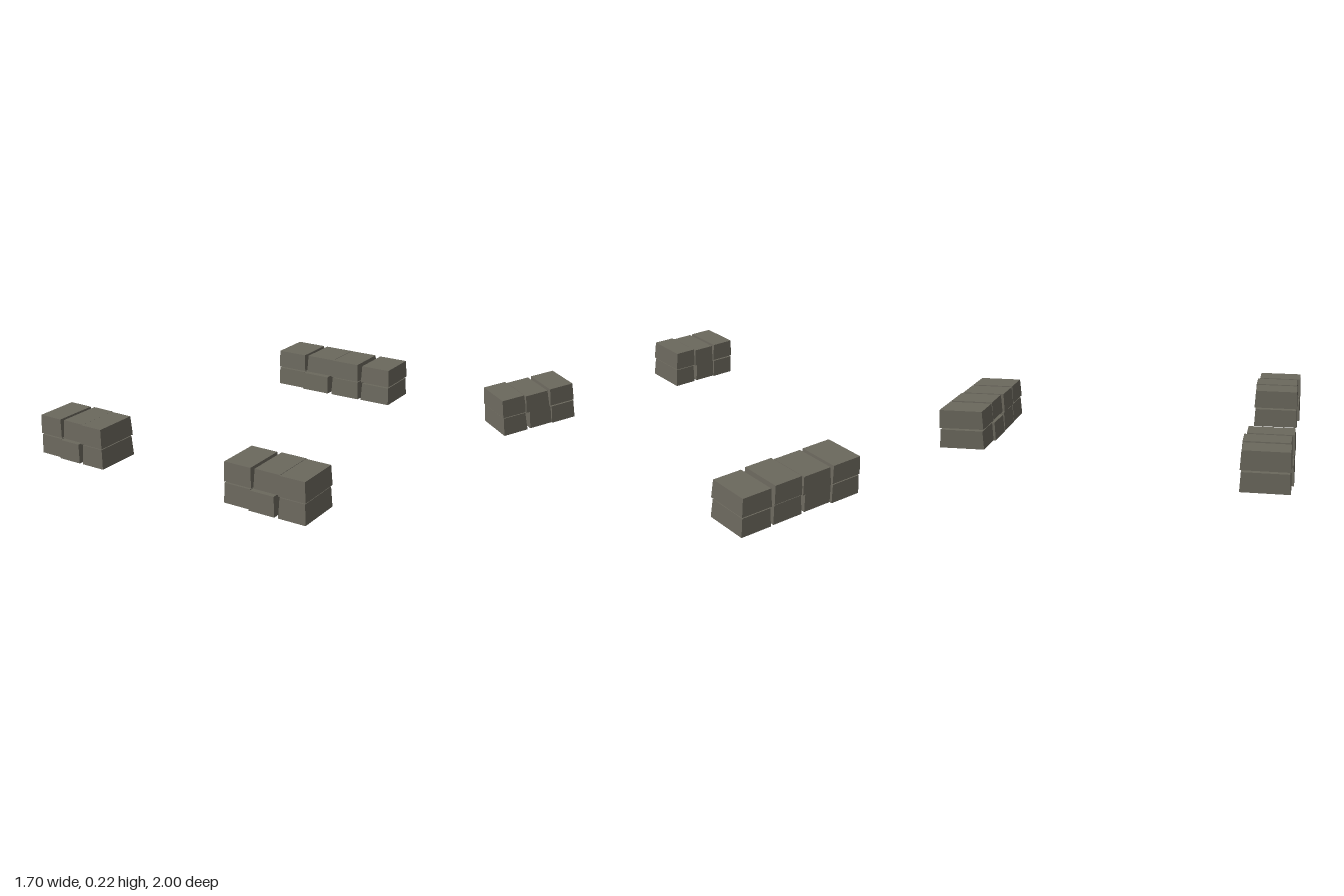
import * as THREE from 'three';

const stone = new THREE.MeshStandardMaterial({ color: 0x6b685d });
stone.name = 'weathered stone';
stone.flatShading = true;

// Hand-cut block: base spans the given extents, upper face drawn in slightly
function block(name, [x0, x1], [z0, z1], [y0, y1], leftInset) {
  const geo = new THREE.BoxGeometry(1, 1, 1);
  const p = geo.attributes.position;
  for (let i = 0; i < p.count; i++) {
    const top = p.getY(i) > 0 ? 1 : 0;
    p.setXYZ(
      i,
      p.getX(i) < 0 ? x0 + top * leftInset : x1 - top * 0.007,
      top ? y1 : y0,
      p.getZ(i) < 0 ? z0 + top * 0.006 : z1 - top * 0.006
    );
  }
  geo.computeVertexNormals();
  const mesh = new THREE.Mesh(geo, stone);
  mesh.name = name;
  return mesh;
}

// Wall stub: two courses of blocks; zs gives the depth span of each block
function wall(name, courses) {
  const group = new THREE.Group();
  group.name = name;
  courses.forEach(({ xs, zs }, row) => {
    xs.forEach((x, i) => {
      const lift = i === 2 ? 0.003 : 0;
      const y = row ? [0.116, 0.22 + lift] : [0, 0.106 + lift];
      group.add(block((row ? 'upperBlock' : 'lowerBlock') + (i + 1), x, zs[i], y, i ? 0.004 : 0));
    });
  });
  return group;
}

export function createModel() {
  const model = new THREE.Group();
  model.name = 'stoneWalls';

  // Depth spans shared by the two front stubs
  const frontLower = [[0.728, 0.985], [0.738, 0.997], [0.735, 0.995]];
  const frontUpper = [[0.728, 0.985], [0.722, 0.981], [0.735, 0.995]];
  const backLower = [[-1, -0.741], [-0.984, -0.727], [-0.99, -0.731], [-0.994, -0.736]];
  const backUpper = [[-1, -0.741], [-1, -0.745], [-0.99, -0.731], [-0.994, -0.736]];

  model.add(
    wall('frontRightWall', [
      { xs: [[-0.85, -0.706], [-0.713, -0.572], [-0.552, -0.41]], zs: frontLower },
      { xs: [[-0.85, -0.703], [-0.692, -0.55], [-0.555, -0.412]], zs: frontUpper },
    ]),
    wall('frontLeftWall', [
      { xs: [[0.37, 0.528], [0.522, 0.672], [0.693, 0.847]], zs: frontLower },
      { xs: [[0.37, 0.531], [0.542, 0.697], [0.692, 0.845]], zs: frontUpper },
    ]),
    wall('backWall', [
      { xs: [[-0.385, -0.192], [-0.2, -0.014], [0.01, 0.2], [0.219, 0.41]], zs: backLower },
      { xs: [[-0.385, -0.191], [-0.178, 0.014], [0.01, 0.196], [0.217, 0.409]], zs: backUpper },
    ])
  );
  return model;
}
